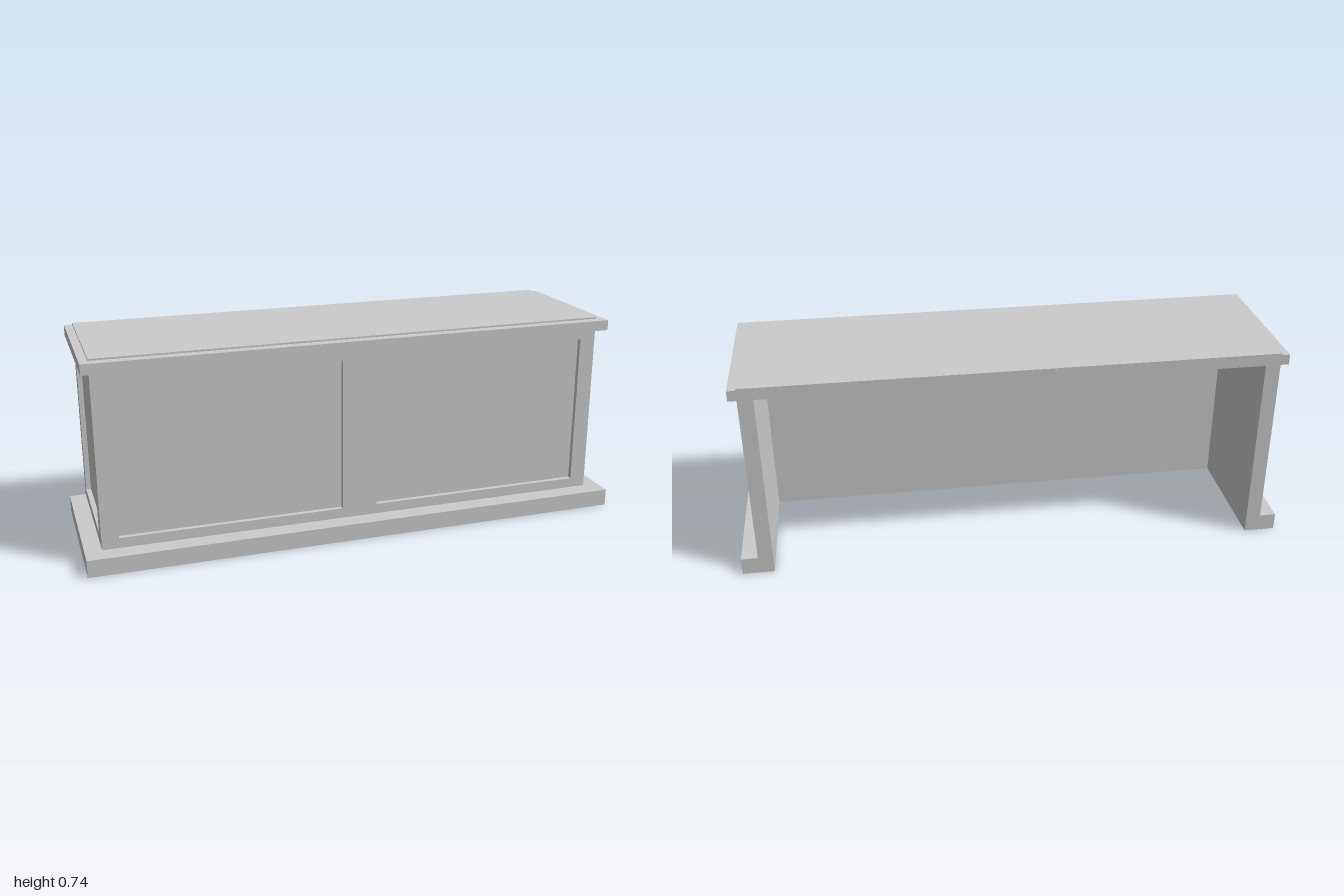
import * as THREE from 'three';

const grey = new THREE.MeshStandardMaterial({ color: 0xcccccc, flatShading: true });
const thin = new THREE.MeshStandardMaterial({ color: 0xcccccc, flatShading: true, side: THREE.DoubleSide });

const BACK = -0.3, BASE_Y = 0.063, BODY_Y = 0.70;
const BODY_X = 0.94, BODY_Z = 0.23, IN_X = 0.886, IN_Z = 0.164;
const RECESS = 0.018, PANEL_Y0 = 0.10, PANEL_Y1 = 0.663;

export function createModel() {
  const group = new THREE.Group();

  const add = (name, geo, mat = grey) => {
    const mesh = new THREE.Mesh(geo, mat);
    mesh.name = name;
    group.add(mesh);
    return mesh;
  };

  // Box given by its limits on each axis
  const box = (name, x0, x1, y0, y1, z0, z1) =>
    add(name, new THREE.BoxGeometry(x1 - x0, y1 - y0, z1 - z0)
      .translate((x0 + x1) / 2, (y0 + y1) / 2, (z0 + z1) / 2));

  // Flat outline from corner points
  const outline = (pts, Type = THREE.Shape) => new Type(pts.map(p => new THREE.Vector2(...p)));
  const rect = (x0, x1, y0, y1, Type) => outline([[x0, y0], [x1, y0], [x1, y1], [x0, y1]], Type);

  // U-shaped plan, open at the back; plan y becomes -z
  const uPlan = (x, z) => outline([
    [-x, -BACK], [-x, -z], [x, -z], [x, -BACK],
    [IN_X, -BACK], [IN_X, -IN_Z], [-IN_X, -IN_Z], [-IN_X, -BACK],
  ]);

  // Facing with openings that leave sunken panels on the wall behind
  const facing = (x0, x1, holes) => {
    const shape = rect(x0, x1, BASE_Y, BODY_Y);
    holes.forEach(([a, b]) => shape.holes.push(rect(a, b, PANEL_Y0, PANEL_Y1, THREE.Path)));
    return new THREE.ExtrudeGeometry(shape, { depth: RECESS, bevelEnabled: false });
  };

  // Walls
  add('walls', new THREE.ExtrudeGeometry(uPlan(BODY_X - RECESS, BODY_Z - RECESS),
    { depth: BODY_Y - BASE_Y, bevelEnabled: false }).rotateX(-Math.PI / 2).translate(0, BASE_Y, 0));

  // Front facing with two panels
  add('frontPanelFrame', facing(-BODY_X, BODY_X, [[-0.88, -0.065], [0.065, 0.88]]))
    .position.z = BODY_Z - RECESS;

  // Side facings with one panel each
  const left = add('leftPanelFrame', facing(-BODY_Z, -BACK, [[-0.16, 0.258]]));
  left.rotation.y = Math.PI / 2;
  left.position.x = BODY_X - RECESS;
  const right = add('rightPanelFrame', facing(BACK, BODY_Z, [[-0.258, 0.16]]));
  right.rotation.y = -Math.PI / 2;
  right.position.x = -(BODY_X - RECESS);

  // Base plinth: a hollow shell, open underneath
  add('plinthLedge', new THREE.ShapeGeometry(uPlan(1, 0.3)).rotateX(-Math.PI / 2).translate(0, BASE_Y, 0), thin);
  const skirt = (name, w, x, z, turn) =>
    add(name, new THREE.PlaneGeometry(w, BASE_Y).rotateY(turn).translate(x, BASE_Y / 2, z), thin);
  skirt('plinthFront', 2, 0, 0.3, 0);
  skirt('plinthInnerFront', 2 * IN_X, 0, IN_Z, Math.PI);
  for (const s of [-1, 1]) {
    skirt('plinthSide', 0.6, s, 0, s * Math.PI / 2);
    skirt('plinthInnerSide', IN_Z - BACK, s * IN_X, (IN_Z + BACK) / 2, -s * Math.PI / 2);
    skirt('plinthEnd', 1 - IN_X, s * (1 + IN_X) / 2, BACK, Math.PI);
  }

  // Overhanging moulding and the thin top slab
  box('topMoulding', -0.97, 0.97, BODY_Y, 0.738, BACK, 0.267);
  box('topSlab', -BODY_X, BODY_X, 0.738, 0.744, BACK, BODY_Z);

  return group;
}
